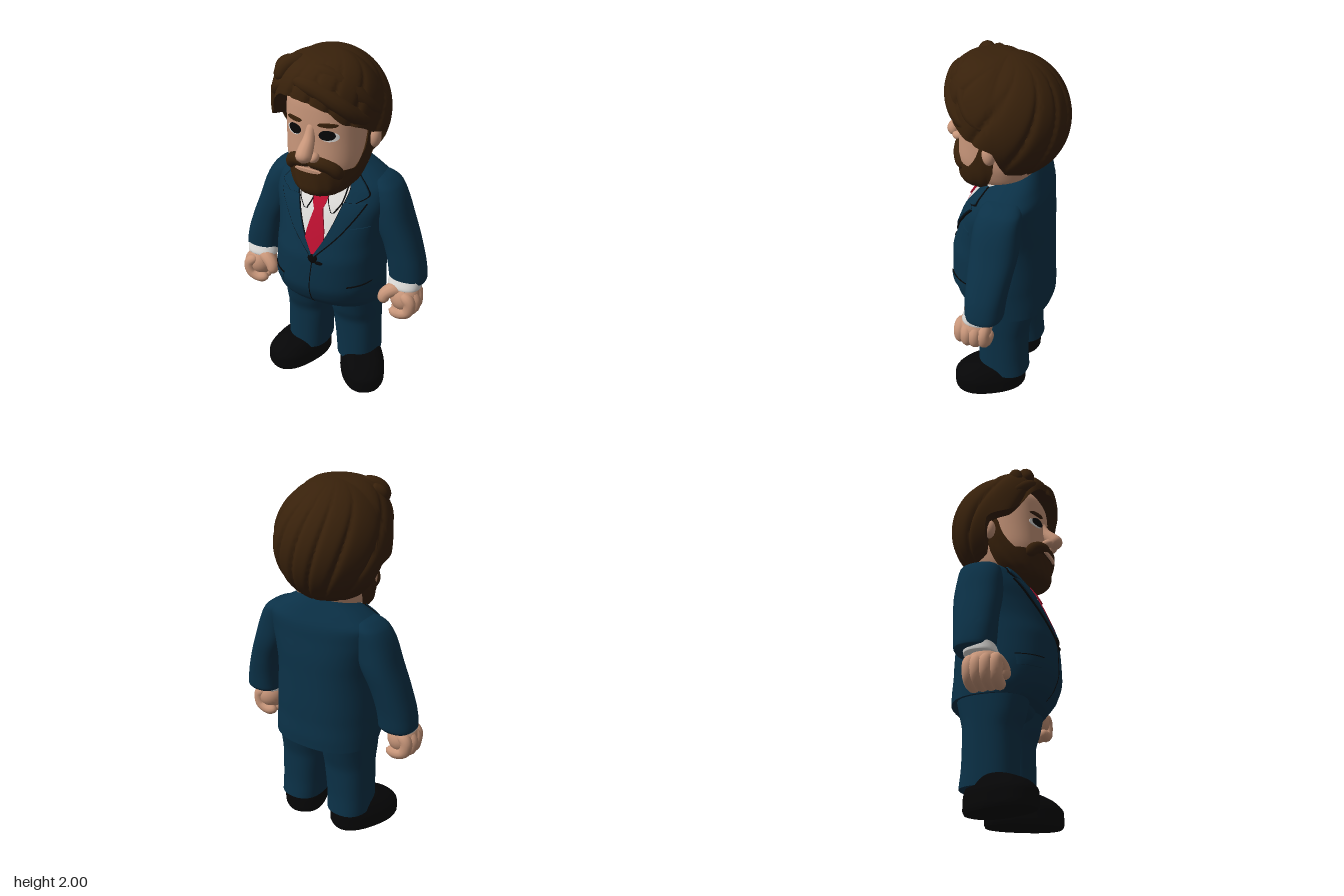
import * as THREE from 'three';
import { mergeVertices, toCreasedNormals } from 'three/addons/utils/BufferGeometryUtils.js';

const mat = (name, color, side = THREE.FrontSide) => {
  const m = new THREE.MeshStandardMaterial({ color, side });
  m.name = name;
  return m;
};

// Smooth monotone interpolation of rows [key, ...values], keys ascending
function sample(rows, k) {
  const n = rows.length;
  k = Math.min(Math.max(k, rows[0][0]), rows[n - 1][0]);
  let i = 0;
  while (i < n - 2 && k > rows[i + 1][0]) i++;
  const h = rows[i + 1][0] - rows[i][0], t = (k - rows[i][0]) / h;
  const out = [];
  for (let j = 1; j < rows[0].length; j++) {
    const d = q => (rows[q + 1][j] - rows[q][j]) / (rows[q + 1][0] - rows[q][0]);
    const m = q => {
      if (q === 0) return d(0);
      if (q === n - 1) return d(n - 2);
      const a = d(q - 1), b = d(q);
      return a * b > 0 ? 2 * a * b / (a + b) : 0;
    };
    const t2 = t * t, t3 = t2 * t;
    out.push((2 * t3 - 3 * t2 + 1) * rows[i][j] + (t3 - 2 * t2 + t) * h * m(i)
      + (3 * t2 - 2 * t3) * rows[i + 1][j] + (t3 - t2) * h * m(i + 1));
  }
  return out;
}

// Surface from a grid of points; columns run rightwards, rows upwards
function grid(R, C, fn, crease = 1) {
  const pos = [], idx = [];
  for (let r = 0; r <= R; r++) for (let c = 0; c <= C; c++) pos.push(...fn(r, c));
  for (let r = 0; r < R; r++) for (let c = 0; c < C; c++) {
    const a = r * (C + 1) + c, e = a + C + 1;
    idx.push(a, a + 1, e + 1, a, e + 1, e);
  }
  let g = new THREE.BufferGeometry();
  g.setAttribute('position', new THREE.Float32BufferAttribute(pos, 3));
  g.setIndex(idx);
  g = mergeVertices(g, 1e-5);
  g.computeVertexNormals();
  return toCreasedNormals(g, crease);
}

// Closed body from horizontal sections [y, cx, cz, rx, rz]
const P = 2.4;
function loft(secs, cols = 40) {
  const ys = [];
  secs.forEach((s, i) => {
    if (i) for (let k = 1; k <= 5; k++) ys.push(secs[i - 1][0] + (s[0] - secs[i - 1][0]) * k / 5);
    else ys.push(s[0]);
  });
  const R = ys.length + 1;
  return grid(R, cols, (r, c) => {
    const y = ys[Math.min(Math.max(r - 1, 0), ys.length - 1)];
    const [cx, cz, rx, rz] = sample(secs, y);
    const a = (c % cols) / cols * Math.PI * 2, s = Math.sin(a), o = Math.cos(a);
    const k = r === 0 || r === R ? 0 : (Math.abs(s) ** P + Math.abs(o) ** P) ** (-1 / P);
    return [cx + rx * s * k, y, cz + rz * o * k];
  });
}

// Thin plate with rows [y, xLeft, xRight] draped over the front of a loft
function patch(rows, secs, off) {
  const R = 16, C = 12, y0 = rows[0][0], y1 = rows[rows.length - 1][0];
  return grid(R, C, (r, c) => {
    const y = y0 + (y1 - y0) * Math.min(Math.max((r - 1) / (R - 2), 0), 1);
    const [l, q] = sample(rows, y);
    const x = l + (q - l) * Math.min(Math.max((c - 1) / (C - 2), 0), 1);
    const [cx, cz, rx, rz] = sample(secs, y);
    const u = Math.min(Math.abs(x - cx) / rx, 0.995);
    const edge = r === 0 || r === R || c === 0 || c === C;
    return [x, y, cz + rz * (1 - u ** P) ** (1 / P) + (edge ? off - 0.012 : off)];
  }, 0.7);
}
const side = (s, rows) => rows.map(([y, l, r]) => (s > 0 ? [y, l, r] : [y, -r, -l]));
const oval = (cx, cy, rx, ry) => [-1, -0.85, -0.5, 0, 0.5, 0.85, 1].map(t => {
  const w = rx * Math.sqrt(1 - t * t) + 0.001;
  return [cy + ry * t, cx - w, cx + w];
});

// Round-ended tube through points [x, y, z, radius]
function taper(pts, s = 1) {
  const curve = new THREE.CatmullRomCurve3(pts.map(p => new THREE.Vector3(p[0] * s, p[1], p[2])));
  const n = 24, radial = 12, g = new THREE.TubeGeometry(curve, n, 1, radial);
  const radii = pts.map((p, i) => [i / (pts.length - 1), p[3]]);
  const pos = g.attributes.position, v = new THREE.Vector3();
  for (let i = 0; i <= n; i++) {
    const t = i / n, c = curve.getPointAt(t), e = Math.min(t, 1 - t) / 0.2;
    const r = sample(radii, t)[0] * (e < 1 ? Math.sqrt(1 - (1 - e) ** 2) : 1);
    for (let j = 0; j <= radial; j++) {
      const k = i * (radial + 1) + j;
      v.fromBufferAttribute(pos, k).sub(c).multiplyScalar(r).add(c);
      pos.setXYZ(k, v.x, v.y, v.z);
    }
  }
  g.deleteAttribute('uv'); g.deleteAttribute('normal');
  const out = mergeVertices(g, 1e-5);
  out.computeVertexNormals();
  return out;
}
const ball = (x, y, z, a, b, c) => new THREE.SphereGeometry(1, 28, 20).scale(a, b, c).translate(x, y, z);

export function createModel() {
  const model = new THREE.Group(), head = new THREE.Group();
  model.name = 'suitedMan'; head.name = 'head';
  head.rotation.y = -0.1;
  model.add(head);
  const navy = mat('navy cloth', 0x0b3147), brown = mat('brown hair', 0x38210b, THREE.DoubleSide);
  const skin = mat('skin', 0xc8967a), white = mat('white cotton', 0xe0dedb);
  const red = mat('red silk', 0xbc1030), black = mat('black', 0x060607);
  const add = (name, geo, m, parent = model) => {
    const mesh = new THREE.Mesh(geo, m);
    mesh.name = name;
    parent.add(mesh);
  };

  // Jacket body
  const torso = [[0.575, 0, -0.05, 0.295, 0.235], [0.65, 0, -0.018, 0.3, 0.268], [0.75, 0, 0, 0.302, 0.28],
    [0.9, 0, 0, 0.295, 0.275], [1.0, 0, -0.012, 0.29, 0.258], [1.1, 0, -0.028, 0.3, 0.238],
    [1.2, 0, -0.045, 0.32, 0.21], [1.28, 0, -0.068, 0.325, 0.178], [1.34, 0, -0.08, 0.255, 0.145],
    [1.4, 0, -0.1, 0.15, 0.1], [1.43, 0, -0.11, 0.1, 0.075]];
  add('jacket', loft(torso, 56), navy);
  add('shirtFront', patch([[0.96, -0.005, 0.005], [1.1, -0.08, 0.08], [1.3, -0.145, 0.145], [1.35, -0.13, 0.13]], torso, 0.005), white);
  add('shirtCollarBand', loft([[1.31, 0, -0.02, 0.18, 0.135], [1.36, 0, -0.02, 0.175, 0.14], [1.385, 0, -0.02, 0.16, 0.14]]), white);
  add('tie', patch([[0.955, -0.004, 0.004], [1.04, -0.052, 0.052], [1.2, -0.022, 0.022]], torso, 0.015), red);
  add('tieKnot', patch([[1.19, -0.02, 0.02], [1.23, -0.036, 0.036], [1.3, -0.044, 0.044]], torso, 0.024), red);
  add('frontSeam', patch([[0.6, -0.021, -0.017], [0.75, -0.019, -0.015], [0.93, -0.002, 0.002]], torso, 0.003), black);
  add('button', ball(0, 0.935, 0.27, 0.026, 0.03, 0.014), black);
  add('buttonFold', ball(0.035, 0.912, 0.272, 0.024, 0.01, 0.01), black);
  add('chestPocket', patch([[1.088, 0.17, 0.265], [1.108, 0.175, 0.265]], torso, 0.006), navy);

  // Lapels, collar and hip pockets
  const lapel = [[0.95, 0, 0.008], [1.08, 0.07, 0.13], [1.2, 0.115, 0.215], [1.235, 0.125, 0.235]];
  const collar = [[1.24, 0.13, 0.185], [1.275, 0.14, 0.24], [1.3, 0.145, 0.225], [1.36, 0.12, 0.16]];
  const wing = [[1.185, 0.07, 0.08], [1.24, 0.045, 0.115], [1.34, 0.03, 0.13]];
  const widen = rows => rows.map(([y, l, r]) => [y - 0.005, l - 0.005, r + 0.006]);
  for (const s of [1, -1]) {
    add('lapelEdge', patch(side(s, widen(lapel)), torso, 0.009), black);
    add('lapel', patch(side(s, lapel), torso, 0.017), navy);
    add('collarEdge', patch(side(s, widen(collar)), torso, 0.008), black);
    add('jacketCollar', patch(side(s, collar), torso, 0.017), navy);
    add('shirtCollarEdge', patch(side(s, widen(wing)), torso, 0.008), black);
    add('shirtCollar', patch(side(s, wing), torso, 0.013), white);
    add('pocketFlap', patch(side(s, [[0.715, 0.195, 0.28], [0.77, 0.185, 0.285]]), torso, 0.007), navy);
    add('pocketLine', patch(side(s, [[0.77, 0.185, 0.285], [0.775, 0.185, 0.285]]), torso, 0.008), black);

    // Arm, cuff and closed hand
    add('sleeve', loft([[0.725, 0.44, -0.04, 0.088, 0.088], [0.742, 0.44, -0.038, 0.104, 0.1], [0.82, 0.43, -0.04, 0.103, 0.106],
      [0.95, 0.395, -0.05, 0.1, 0.115], [1.1, 0.335, -0.06, 0.105, 0.125], [1.2, 0.305, -0.062, 0.1, 0.122],
      [1.28, 0.275, -0.07, 0.088, 0.112], [1.32, 0.245, -0.075, 0.065, 0.085], [1.34, 0.22, -0.08, 0.02, 0.03]]
      .map(([y, x, ...q]) => [y, x * s, ...q])), navy);
    add('cuff', loft([[0.702, 0.435 * s, -0.005, 0.08, 0.075], [0.712, 0.435 * s, -0.004, 0.094, 0.085], [0.76, 0.438 * s, -0.018, 0.094, 0.085]]), white);
    add('palm', ball(0.445 * s, 0.645, 0.015, 0.085, 0.092, 0.092), skin);
    for (let i = 0; i < 4; i++) {
      const z = 0.083 - i * 0.043, out = [0.015, 0, 0, 0.012][i];
      add('finger', taper([[0.44, 0.695, z, 0.03], [0.505 - out, 0.65, z, 0.034], [0.498 - out, 0.585, z, 0.034],
        [0.44, 0.562, z, 0.033], [0.375, 0.57, z, 0.03]], s), skin);
    }
    add('thumb', taper([[0.44, 0.7, 0.03, 0.04], [0.385, 0.695, 0.06, 0.04], [0.345, 0.66, 0.08, 0.036], [0.345, 0.61, 0.085, 0.03]], s), skin);

    // Trouser leg and shoe
    add('trouserLeg', loft([[0.12, 0.159, -0.05, 0.125, 0.148], [0.25, 0.154, -0.045, 0.128, 0.143], [0.4, 0.145, -0.045, 0.136, 0.144],
      [0.5, 0.14, -0.04, 0.142, 0.168], [0.62, 0.138, -0.04, 0.144, 0.195]].map(([y, x, ...q]) => [y, x * s, ...q])), navy);
    const shoe = loft([[0, 0, 0, 0.122, 0.203], [0.02, 0, 0, 0.13, 0.21], [0.08, 0, 0, 0.13, 0.208],
      [0.13, 0, -0.015, 0.115, 0.18], [0.17, 0, -0.045, 0.09, 0.125], [0.19, 0, -0.06, 0.05, 0.07]]);
    add('shoe', shoe.rotateY(0.48 * s).translate(0.204 * s, 0, 0.022), black);
  }
  add('trouserSeat', loft([[0.455, 0, -0.05, 0.02, 0.07], [0.5, 0, -0.045, 0.09, 0.12], [0.55, 0, -0.04, 0.17, 0.165], [0.62, 0, -0.04, 0.2, 0.19]]), navy);

  // Face
  const face = [[1.2, 0, -0.04, 0.115, 0.115], [1.3, 0, 0, 0.135, 0.13], [1.4, 0, 0.02, 0.19, 0.2], [1.5, 0, 0.01, 0.212, 0.22],
    [1.64, 0, 0, 0.215, 0.225], [1.78, 0, 0, 0.215, 0.22], [1.88, 0, 0, 0.17, 0.17], [1.93, 0, 0, 0.05, 0.05]];
  add('faceAndNeck', loft(face, 48), skin, head);
  add('nose', taper([[0, 1.7, 0.195, 0.022], [0, 1.615, 0.233, 0.027], [0, 1.552, 0.282, 0.038], [0, 1.512, 0.308, 0.046]]), skin, head);
  add('lips', patch(oval(0, 1.45, 0.072, 0.01), face, 0.034), skin, head);
  for (const s of [1, -1]) {
    add('nostril', ball(0.034 * s, 1.525, 0.25, 0.026, 0.024, 0.034), skin, head);
    add('eyeWhite', patch(oval(0.1 * s, 1.634, 0.043, 0.025), face, 0.004), white, head);
    add('pupil', patch(oval(0.09 * s, 1.642, 0.038, 0.025), face, 0.008), black, head);
    add('eyebrow', patch(oval(0.092 * s, 1.695, 0.046, 0.01), face, 0.011), brown, head);
    add('ear', ball(0.232 * s, 1.573, -0.02, 0.032, 0.058, 0.036), skin, head);
    add('moustache', taper([[-0.02, 1.488, 0.232, 0.03], [0.05, 1.488, 0.225, 0.036], [0.11, 1.462, 0.198, 0.038], [0.145, 1.4, 0.165, 0.03]], s), brown, head);
  }

  // Beard wrapping the jaw up to the sideburns
  const beard = [[1.27, 0, 0.13, 0.05, 0.05], [1.3, 0, 0.11, 0.125, 0.125], [1.36, 0, 0.06, 0.183, 0.188],
    [1.45, 0, 0.025, 0.213, 0.218], [1.55, 0, 0, 0.224, 0.235], [1.66, 0, 0, 0.224, 0.235]];
  const beardTop = [[0, 1.44], [0.3, 1.445], [0.5, 1.465], [0.8, 1.45], [1.1, 1.45], [1.35, 1.55], [1.5, 1.65], [1.62, 1.63], [1.8, 1.45]];
  add('beard', grid(20, 60, (r, c) => {
    const a = (c / 60 - 0.5) * 3.6, top = sample(beardTop, Math.abs(a))[0];
    const y = 1.27 + (top - 1.27) * Math.min(r / 19, 1), [, cz, rx, rz] = sample(beard, y);
    const k = r === 20 ? 0.9 : 1 + 0.008 * Math.sin(18 * a + 30 * y);
    return [rx * Math.sin(a) * k, y, cz + rz * Math.cos(a) * k];
  }), brown, head);
  add('chinBeard', ball(0, 1.355, 0.12, 0.14, 0.085, 0.118), brown, head);

  // Swept hair with combed grooves and an uneven hairline
  const hairline = [[-3.1416, 1.41], [-2.2, 1.42], [-1.82, 1.44], [-1.7, 1.52], [-1.6, 1.61], [-1.2, 1.64], [-0.95, 1.7], [-0.75, 1.78],
    [-0.5, 1.83], [-0.2, 1.83], [0, 1.82], [0.35, 1.78], [0.6, 1.72], [0.9, 1.69], [1.2, 1.64], [1.6, 1.61], [1.7, 1.52],
    [1.82, 1.44], [2.2, 1.42], [3.1416, 1.41]];
  add('hair', grid(44, 144, (r, c) => {
    const a = ((c % 144) / 144 - 0.5) * Math.PI * 2, low = sample(hairline, a)[0];
    const phi = Math.acos((low - 1.68) / 0.32) * Math.min((44 - r) / 42, 1);
    const p = 2 + 1.6 * Math.max(0, Math.cos(a)), y = 1.68 + 0.32 * Math.cos(phi);
    let f = Math.max(0, 1 - Math.abs(Math.cos(phi)) ** p) ** (1 / p);
    f *= 1 - 0.06 * (1 - Math.abs(Math.sin(6 * a + 2.6 * phi + 1.3 * Math.sin(2 * a)))) ** 3 * Math.sin(phi);
    if (r < 2) f *= r ? 0.95 : 0.74;
    return [-0.012 + 0.304 * f * Math.sin(a), y + (r ? 0 : 0.012), -0.02 + 0.312 * f * Math.cos(a)];
  }), brown);
  const locks = [
    [[-0.12, 1.9, 0.22, 0.03], [0, 1.885, 0.24, 0.045], [0.12, 1.82, 0.225, 0.045], [0.2, 1.74, 0.165, 0.04], [0.245, 1.69, 0.06, 0.03]],
    [[-0.08, 1.94, 0.17, 0.03], [0.05, 1.935, 0.18, 0.042], [0.16, 1.87, 0.15, 0.042], [0.24, 1.77, 0.09, 0.035], [0.255, 1.7, 0, 0.025]],
    [[-0.14, 1.88, 0.21, 0.035], [-0.215, 1.82, 0.155, 0.038], [-0.255, 1.74, 0.08, 0.036], [-0.255, 1.66, 0.04, 0.025]],
    [[-0.2, 1.86, 0.18, 0.035], [-0.175, 1.93, 0.16, 0.042], [-0.13, 1.955, 0.13, 0.04], [-0.08, 1.94, 0.1, 0.03]],
    [[-0.215, 1.86, 0.13, 0.03], [-0.21, 1.92, 0.11, 0.035], [-0.165, 1.945, 0.08, 0.032]]];
  for (const lock of locks) add('hairLock', taper(lock), brown);
  return model;
}
